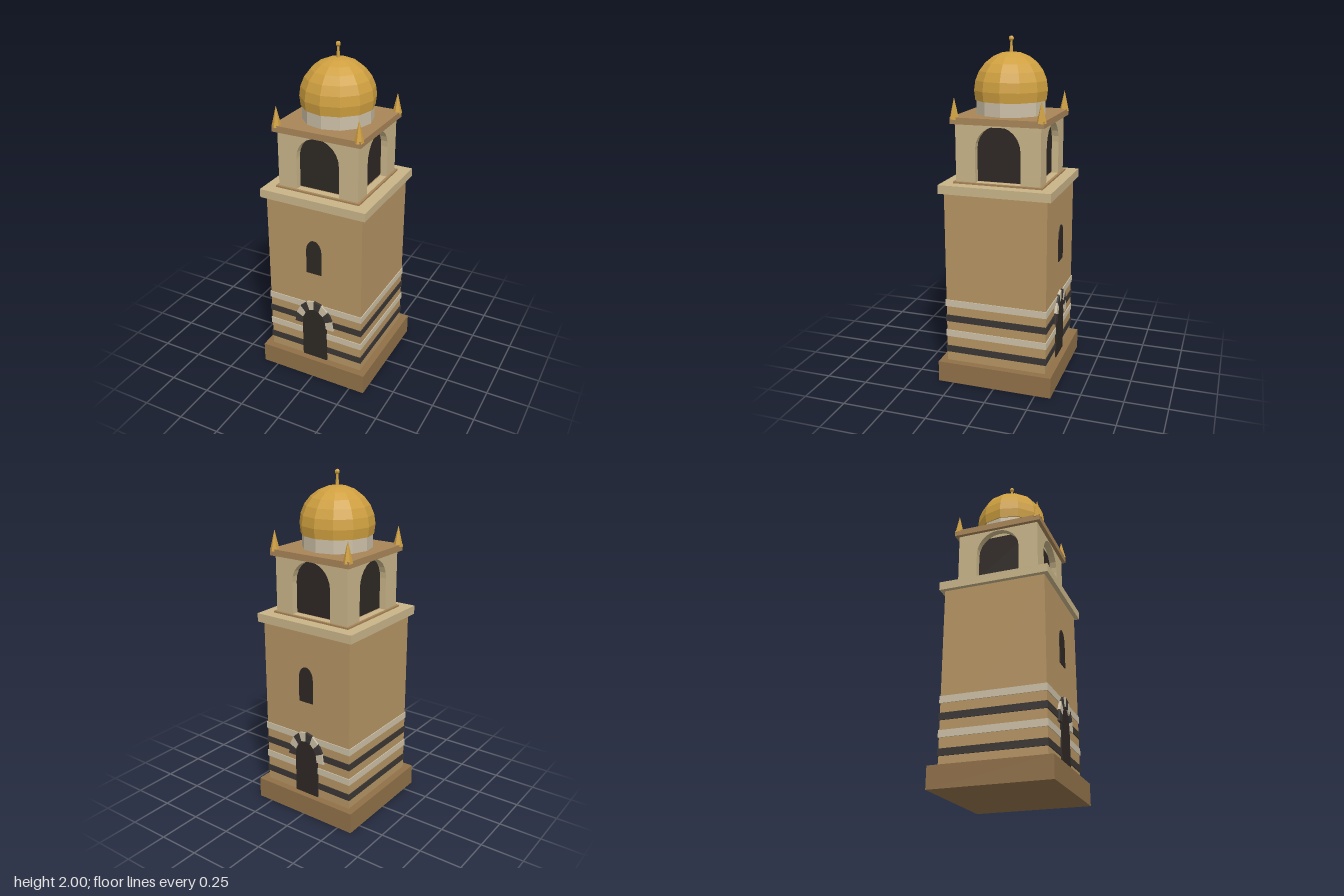
import * as THREE from 'three';

const mat = (color, flatShading = true) => new THREE.MeshStandardMaterial({ color, flatShading });
const M = {
  stone: mat(0xb59463), base: mat(0x8f7048), cream: mat(0xc8b488), slab: mat(0xa88558),
  pale: mat(0xcbbfa6), dark: mat(0x3a3634), opening: mat(0x2e2824), gold: mat(0xcfa040),
};

function add(parent, name, geometry, material, x = 0, y = 0, z = 0) {
  const mesh = new THREE.Mesh(geometry, material);
  mesh.name = name;
  mesh.position.set(x, y, z);
  parent.add(mesh);
  return mesh;
}

// Square block centred on the axis, from y0 to y1
function block(parent, name, half, y0, y1, material) {
  return add(parent, name, new THREE.BoxGeometry(half * 2, y1 - y0, half * 2), material, 0, (y0 + y1) / 2, 0);
}

// Arched outline: straight jambs up to the spring line, then a half ellipse
function arch(path, half, y0, spring, rise) {
  path.moveTo(-half, y0);
  path.lineTo(half, y0);
  path.lineTo(half, spring);
  path.absellipse(0, spring, half, rise, 0, Math.PI, false);
  path.lineTo(-half, y0);
  return path;
}

const extrude = (shape, depth, curveSegments = 6) =>
  new THREE.ExtrudeGeometry(shape, { depth, bevelEnabled: false, curveSegments });

// Door, striped arch stones and window of one decorated face
function facade() {
  const g = new THREE.Group();
  add(g, 'door', extrude(arch(new THREE.Shape(), 0.08, 0.125, 0.36, 0.12), 0.02), M.opening, 0, 0, 0.288);
  add(g, 'window', extrude(arch(new THREE.Shape(), 0.048, 0.72, 0.865, 0.07), 0.02), M.opening, 0, 0, 0.285);
  const count = 8;
  for (let i = 0; i < count; i++) {
    const a = (i / count) * Math.PI, b = ((i + 1) / count) * Math.PI;
    const point = (t, rx, ry) => new THREE.Vector2(Math.cos(t) * rx, 0.36 + Math.sin(t) * ry);
    const stone = new THREE.Shape([
      point(a, 0.08, 0.115), point(a, 0.127, 0.17), point(b, 0.127, 0.17), point(b, 0.08, 0.115),
    ]);
    add(g, 'archStone', extrude(stone, 0.03), i % 2 ? M.dark : M.pale, 0, 0, 0.285);
  }
  return g;
}

export function createModel() {
  const tower = new THREE.Group();
  tower.name = 'domedTower';

  // Base, shaft and striped courses
  block(tower, 'base', 0.343, 0, 0.125, M.base);
  block(tower, 'shaft', 0.3, 0.125, 1.15, M.stone);
  [0.2, 0.3, 0.395, 0.49].forEach((y, i) =>
    block(tower, 'stripe', 0.305, y - 0.02, y + 0.02, i % 2 ? M.pale : M.dark));
  [0, Math.PI].forEach((turn, i) => {
    const face = facade();
    face.name = i ? 'backFacade' : 'frontFacade';
    face.rotation.y = turn;
    tower.add(face);
  });

  // Cornice and belfry
  block(tower, 'cornice', 0.326, 1.15, 1.2, M.cream);
  block(tower, 'belfryFloor', 0.26, 1.2, 1.21, M.slab);
  block(tower, 'belfryInterior', 0.2, 1.21, 1.515, M.opening);
  block(tower, 'belfryCeiling', 0.2, 1.515, 1.535, M.cream);
  for (let i = 0; i < 4; i++) {
    // Each wall stops short at one end, where the next wall closes the corner
    const shape = new THREE.Shape([
      new THREE.Vector2(-0.246, 1.21), new THREE.Vector2(0.206, 1.21),
      new THREE.Vector2(0.206, 1.535), new THREE.Vector2(-0.246, 1.535),
    ]);
    shape.holes.push(arch(new THREE.Path(), 0.131, 1.2101, 1.395, 0.135));
    const wall = add(tower, 'belfryWall', extrude(shape, 0.04), M.cream);
    wall.rotation.y = (i * Math.PI) / 2;
    wall.translateZ(0.206);
  }
  block(tower, 'roofSlab', 0.268, 1.535, 1.572, M.slab);

  // Corner pinnacles
  for (const x of [-0.248, 0.248]) {
    for (const z of [-0.248, 0.248]) {
      add(tower, 'pinnacle', new THREE.ConeGeometry(0.028, 0.12, 6), M.gold, x, 1.62, z);
    }
  }

  // Drum, dome and finial
  add(tower, 'drum', new THREE.CylinderGeometry(0.2, 0.2, 0.09, 12), M.pale, 0, 1.615, 0);
  add(tower, 'dome', new THREE.SphereGeometry(0.213, 12, 7, 0, Math.PI * 2, 0, Math.PI * 0.58), M.gold, 0, 1.702, 0);
  const rim = add(tower, 'domeUnderside', new THREE.CircleGeometry(0.206, 12), M.gold, 0, 1.649, 0);
  rim.rotation.x = Math.PI / 2;
  add(tower, 'finialSpike', new THREE.CylinderGeometry(0.005, 0.012, 0.08, 6), M.gold, 0, 1.94, 0);
  add(tower, 'finialBall', new THREE.SphereGeometry(0.015, 6, 5), M.gold, 0, 1.985, 0);
  return tower;
}
